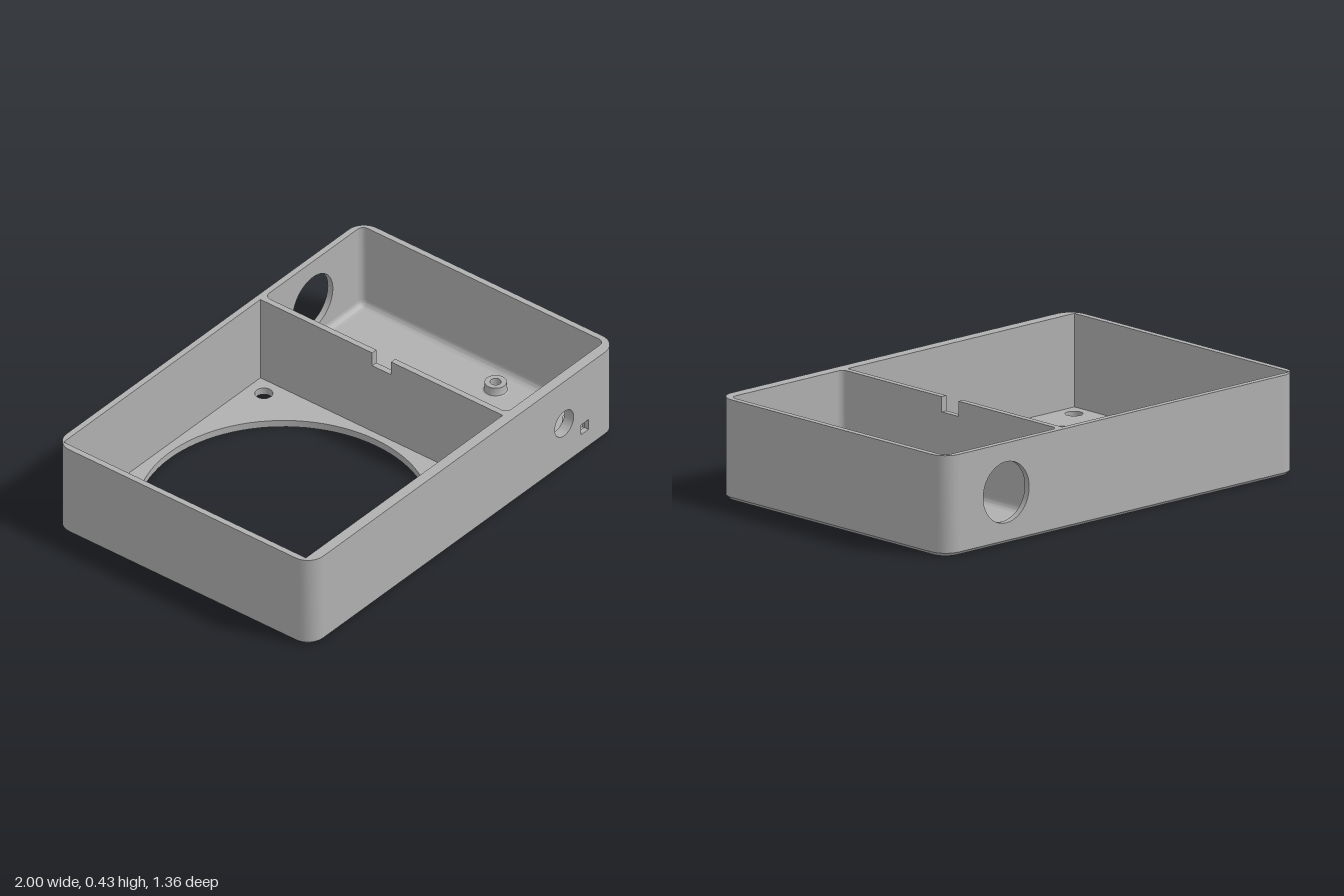
import * as THREE from 'three';
import { toCreasedNormals } from 'three/addons/utils/BufferGeometryUtils.js';

const H = 0.43, FLOOR = 0.032, CH = 0.015;      // height, floor thickness, bottom chamfer
const X = 1, Z = 0.679, R = 0.08;               // outer half sizes and corner radius
const IX = 0.973, ZB = -0.652, ZF = 0.631;      // inner faces of side, back and front walls
const DX0 = 0.31, DX1 = 0.337;                  // divider faces
const COVE = 0.03;                              // fillet inside the small bay

const grey = new THREE.MeshStandardMaterial({ color: 0xb0b0b0 });
grey.name = 'grey plastic';

function polygon(points) {
  return new THREE.Shape(points.map(([x, y]) => new THREE.Vector2(x, y)));
}

function circle(x, y, r) {
  return new THREE.Path().absarc(x, y, r, 0, Math.PI * 2, true);
}

function square(x, y, s) {
  const h = s / 2;
  return new THREE.Path([[-h, -h], [-h, h], [h, h], [h, -h]].map(([a, b]) => new THREE.Vector2(x + a, y + b)));
}

function extrude(shape, depth, curveSegments = 24) {
  return new THREE.ExtrudeGeometry(shape, { depth, bevelEnabled: false, curveSegments });
}

// Plan shape (x, z) raised from y0 to y1
function raise(shape, y0, y1, segments) {
  return extrude(shape, y1 - y0, segments).rotateX(Math.PI / 2).translate(0, y1, 0);
}

// Rounded rectangle outline in plan
function roundedLoop(x0, x1, z0, z1, r, n = 8) {
  const points = [];
  const centres = [[x1 - r, z1 - r], [x0 + r, z1 - r], [x0 + r, z0 + r], [x1 - r, z0 + r]];
  centres.forEach(([cx, cz], k) => {
    for (let i = 0; i <= n; i++) {
      const a = (k + i / n) * Math.PI / 2;
      points.push([cx + r * Math.cos(a), cz + r * Math.sin(a)]);
    }
  });
  return points;
}

// Skin between loops: rising loops face inward, descending loops face outward
function loft(loops) {
  const position = [], index = [], n = loops[0].points.length;
  loops.forEach(({ points, y }) => points.forEach(([x, z]) => position.push(x, y, z)));
  for (let j = 0; j < loops.length - 1; j++) {
    for (let i = 0; i < n; i++) {
      const a = j * n + i, b = j * n + (i + 1) % n;
      index.push(a, b, a + n, b, b + n, a + n);
    }
  }
  const geometry = new THREE.BufferGeometry();
  geometry.setAttribute('position', new THREE.Float32BufferAttribute(position, 3));
  geometry.setIndex(index);
  return geometry;
}

export function createModel() {
  const model = new THREE.Group();
  model.name = 'fanEnclosure';
  const add = (name, geometry) => {
    const mesh = new THREE.Mesh(toCreasedNormals(geometry, 0.5), grey);
    mesh.name = name;
    model.add(mesh);
    return mesh;
  };

  // Floor with the fan opening and four screw holes
  const floor = polygon(roundedLoop(-X + CH, X - CH, -Z + CH, Z - CH, R - CH));
  floor.holes.push(circle(-0.329, -0.01, 0.603));
  for (const x of [-0.898, 0.235]) {
    for (const z of [-0.573, 0.555]) floor.holes.push(circle(x, z, 0.037));
  }
  add('floor', raise(floor, 0, FLOOR, 48));

  // Chamfer around the bottom edge
  add('bottomChamfer', loft([
    { points: roundedLoop(-X, X, -Z, Z, R), y: CH },
    { points: roundedLoop(-X + CH, X - CH, -Z + CH, Z - CH, R - CH), y: 0 },
  ]));

  // Side walls, each with its two outer corners
  for (const [name, s] of [['leftWall', 1], ['rightWall', -1]]) {
    const outer = roundedLoop(-X, X, -Z, Z, R);
    const half = [...outer.slice(27), ...outer.slice(0, 9)];
    const inner = [[X - R, ZF], [IX, ZF], [IX, ZB], [X - R, ZB]];
    add(name, raise(polygon([...half, ...inner].map(([x, z]) => [s * x, z])), CH, H));
  }

  // Front and back walls with their port holes
  const wall = (name, z0, z1, holes) => {
    const w = X - R;
    const shape = polygon([[-w, CH], [w, CH], [w, H], [-w, H]]);
    shape.holes.push(...holes);
    add(name, extrude(shape, z1 - z0).translate(0, 0, z0));
  };
  const frontMid = 0.655;
  wall('frontWallOuter', frontMid, Z, [circle(0.652, 0.217, 0.0615), square(0.785, 0.123, 0.05)]);
  wall('frontWallInner', ZF, frontMid, [circle(0.652, 0.217, 0.0615), square(0.785, 0.123, 0.084)]);
  wall('backWall', -Z, ZB, [circle(0.652, 0.22, 0.13)]);

  // Divider with a cable notch in its top edge
  const notch = H - 0.065;
  const divider = polygon([
    [ZB, CH], [ZF, CH], [ZF, H], [0.04, H], [0.04, notch], [-0.06, notch], [-0.06, H], [ZB, H],
  ]);
  add('divider', extrude(divider, DX1 - DX0).rotateY(-Math.PI / 2).translate(DX1, 0, 0));

  // Fillet around the small bay's floor
  const loops = [];
  for (let i = 0; i <= 6; i++) {
    const a = (i / 6) * Math.PI / 2;
    const inset = (COVE - 0.0002) * (1 - Math.sin(a));
    loops.push({
      points: roundedLoop(DX1 + inset, IX - inset, ZB + inset, ZF - inset, COVE - inset),
      y: FLOOR + COVE * (1 - Math.cos(a)),
    });
  }
  add('bayFloorFillet', loft(loops));

  // Fillets in the small bay's upright corners
  for (const [x, sx] of [[DX1, 1], [IX, -1]]) {
    for (const [z, sz] of [[ZB, 1], [ZF, -1]]) {
      const points = [[x, z]];
      for (let i = 0; i <= 8; i++) {
        const a = (i / 8) * Math.PI / 2;
        points.push([x + sx * COVE * (1 - Math.sin(a)), z + sz * COVE * (1 - Math.cos(a))]);
      }
      add('bayCornerFillet', raise(polygon(points), FLOOR + COVE, H));
    }
  }

  // Hollow board standoffs
  const profile = [[0.056, 0], [0.049, 0.003], [0.046, 0.01], [0.046, 0.04], [0.023, 0.04], [0.023, 0]]
    .map(([r, y]) => new THREE.Vector2(r, y));
  for (const x of [0.444, 0.856]) {
    for (const z of [0.15, 0.559]) {
      add('standoff', new THREE.LatheGeometry(profile, 32)).position.set(x, FLOOR, z);
    }
  }
  return model;
}
